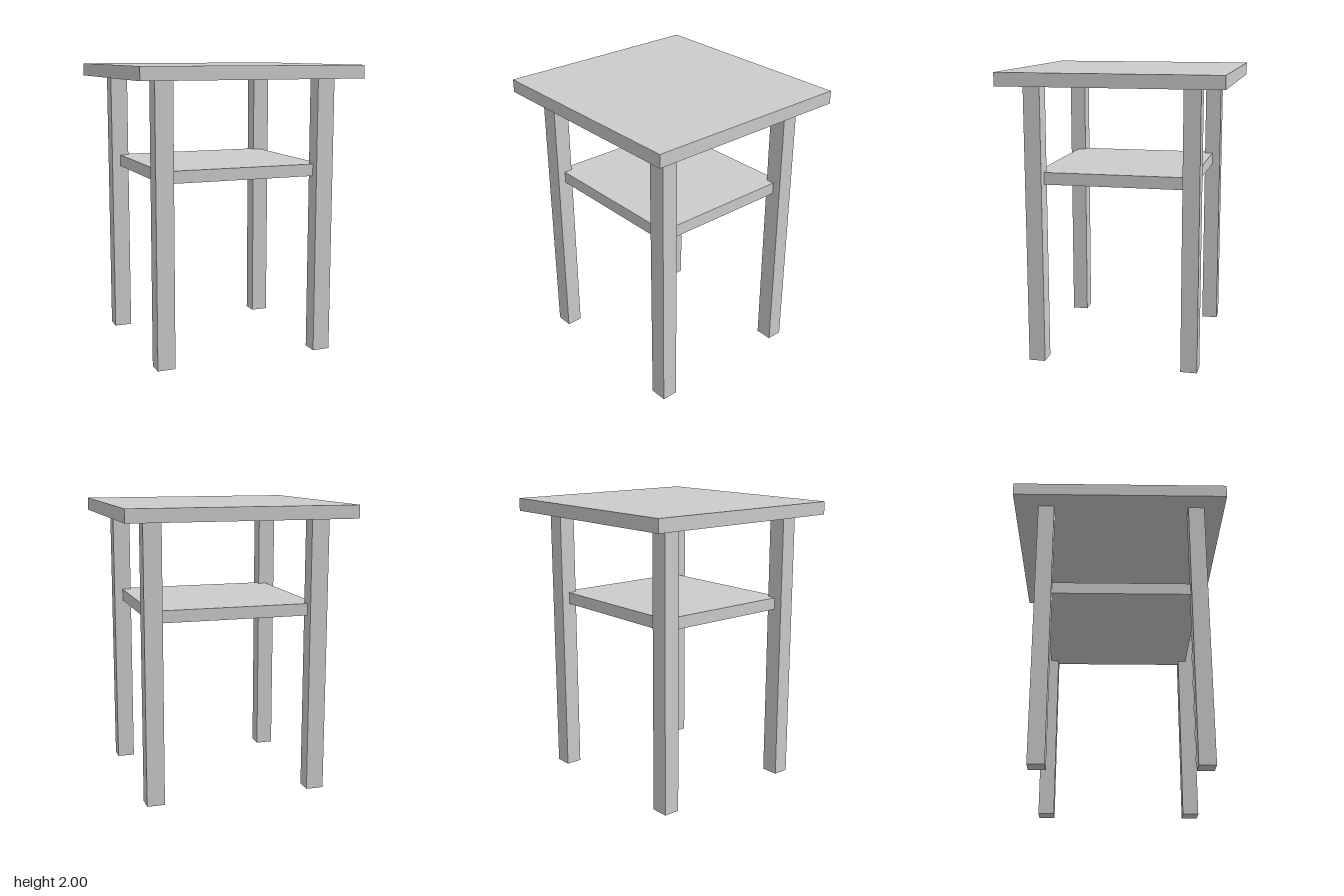
import * as THREE from 'three';

const material = new THREE.MeshStandardMaterial({ color: 0xcccccc, flatShading: true });

// Box given by its extents along each axis
function slab(name, [x0, x1], [y0, y1], [z0, z1]) {
  const mesh = new THREE.Mesh(new THREE.BoxGeometry(x1 - x0, y1 - y0, z1 - z0), material);
  mesh.position.set((x0 + x1) / 2, (y0 + y1) / 2, (z0 + z1) / 2);
  mesh.name = name;
  return mesh;
}

export function createModel() {
  const model = new THREE.Group();
  model.name = 'sideTable';

  const topUnderside = 1.91;
  const legX = { Right: [-0.641, -0.518], Left: [0.512, 0.635] };
  const legZ = { front: [0.487, 0.6], back: [-0.578, -0.465] };

  // Table top
  model.add(slab('tableTop', [-0.78, 0.78], [topUnderside, 2], [-0.745, 0.745]));

  // Four square legs
  for (const [end, z] of Object.entries(legZ))
    for (const [side, x] of Object.entries(legX))
      model.add(slab(`${end}${side}Leg`, x, [0, topUnderside], z));

  // Shelf, let into the legs as far as their centre lines
  const mid = ([a, b]) => (a + b) / 2;
  model.add(slab('shelf', [mid(legX.Right), mid(legX.Left)], [1.24, 1.323], [mid(legZ.back), mid(legZ.front)]));

  return model;
}
